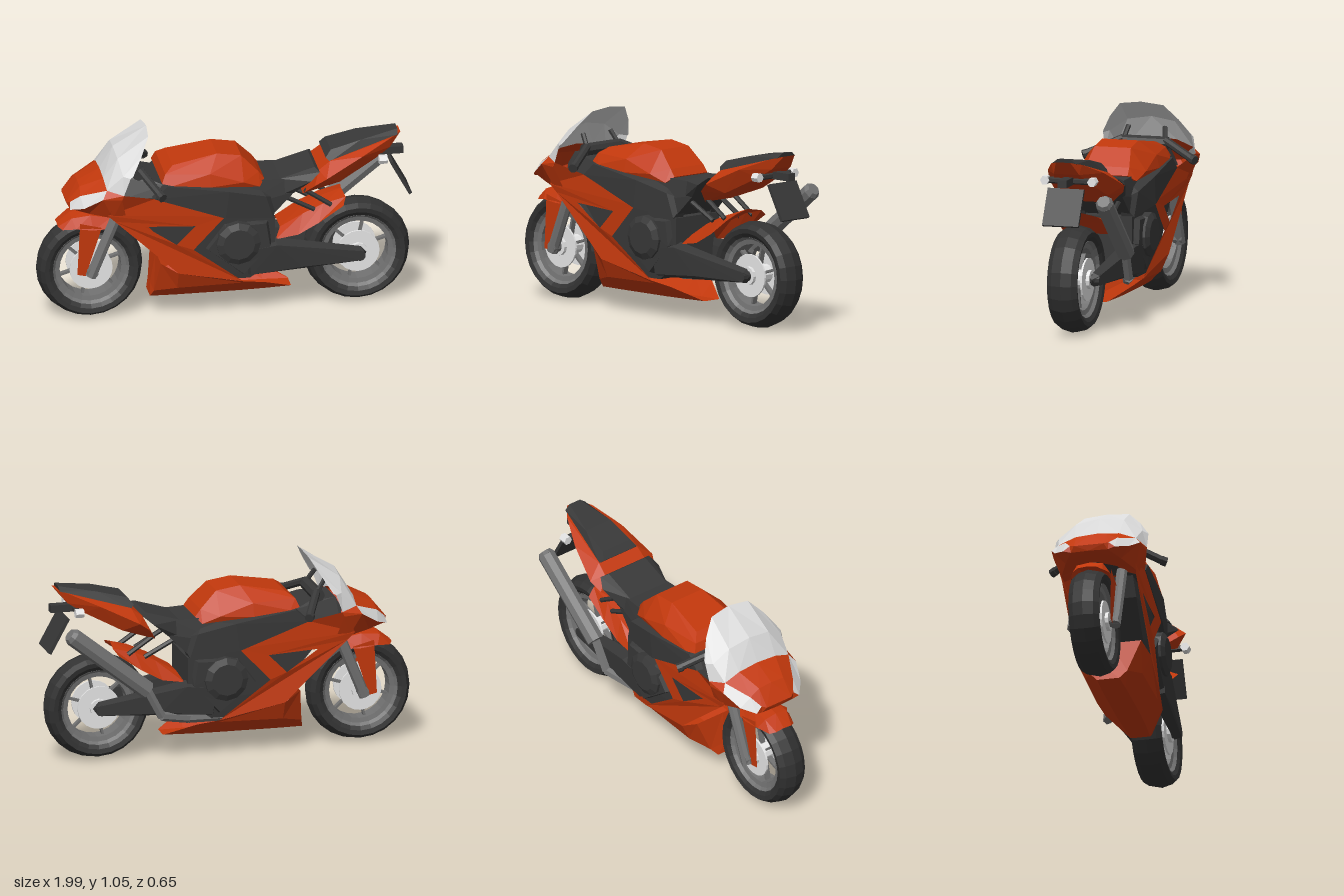
import * as THREE from 'three';
import { ConvexGeometry } from 'three/addons/geometries/ConvexGeometry.js';

const mat = (name, color, side = THREE.FrontSide) => {
  const m = new THREE.MeshStandardMaterial({ color, flatShading: true, side });
  m.name = name;
  return m;
};
const V = (p) => new THREE.Vector3(...p);

export function createModel() {
  const bike = new THREE.Group();
  bike.name = 'motorcycle';
  const red = mat('red paint', 0xc2380c, THREE.DoubleSide);
  const dark = mat('dark plastic', 0x383838);
  const rubber = mat('tyre rubber', 0x323232);
  const steel = mat('grey metal', 0x727272);
  const silver = mat('silver metal', 0xe6e6e6);
  const glass = mat('pale screen', 0xd8d8d8, THREE.DoubleSide);

  const add = (name, geo, m, parent = bike) => {
    const mesh = new THREE.Mesh(geo, m);
    mesh.name = name;
    parent.add(mesh);
    return mesh;
  };
  // Solid hull symmetric about z = 0
  const hull = (name, m, pts) =>
    add(name, new ConvexGeometry(pts.flatMap(([x, y, z]) => [V([x, y, z]), V([x, y, -z])])), m);
  // One solid hull on each side
  const sideHull = (name, m, pts) => {
    for (const s of [1, -1]) add(name, new ConvexGeometry(pts.map(([x, y, z]) => V([x, y, z * s]))), m);
  };
  // Mirrored sheet from columns of points that run from the centre line outwards
  const skin = (name, m, cols) => {
    const out = [];
    for (const s of [1, -1]) {
      for (let i = 0; i < cols.length - 1; i++) {
        for (let j = 0; j < cols[i].length - 1; j++) {
          const [a, b, c, d] = [cols[i][j], cols[i][j + 1], cols[i + 1][j + 1], cols[i + 1][j]];
          const tris = s > 0 ? [a, d, b, b, d, c] : [a, b, d, b, c, d];
          for (const [x, y, z] of tris) out.push(x, y, z * s);
        }
      }
    }
    const g = new THREE.BufferGeometry();
    g.setAttribute('position', new THREE.Float32BufferAttribute(out, 3));
    g.computeVertexNormals();
    add(name, g, m);
  };
  // Flat outline on both sides, pushed to the half width given by a rule
  const panel = (name, m, outline, holes, width) => {
    for (const s of [1, -1]) {
      const shape = new THREE.Shape(outline.map((p) => new THREE.Vector2(...p)));
      for (const h of holes) shape.holes.push(new THREE.Path(h.map((p) => new THREE.Vector2(...p))));
      const g = new THREE.ShapeGeometry(shape);
      const p = g.attributes.position;
      for (let i = 0; i < p.count; i++) p.setZ(i, s * width(p.getX(i), p.getY(i)));
      g.computeVertexNormals();
      add(name, g, m);
    }
  };
  const rod = (name, m, a, b, r, sides = 8, r2 = r) => {
    const A = V(a), B = V(b), d = B.clone().sub(A);
    const mesh = add(name, new THREE.CylinderGeometry(r2, r, d.length(), sides), m);
    mesh.position.copy(A).add(B).multiplyScalar(0.5);
    mesh.quaternion.setFromUnitVectors(new THREE.Vector3(0, 1, 0), d.normalize());
  };
  const rods = (name, m, [ax, ay, az], [bx, by, bz], r, sides) => {
    for (const s of [1, -1]) rod(name, m, [ax, ay, az * s], [bx, by, bz * s], r, sides);
  };
  const lathe = (pts, n) =>
    new THREE.LatheGeometry(pts.map((p) => new THREE.Vector2(...p)), n).rotateX(Math.PI / 2);

  // Wheels
  for (const [name, x] of [['frontWheel', -0.715], ['rearWheel', 0.71]]) {
    const w = new THREE.Group();
    w.name = name;
    w.position.set(x, 0.286, 0);
    bike.add(w);
    add('tyre', lathe([[0.2, -0.06], [0.225, -0.078], [0.25, -0.083], [0.27, -0.055], [0.284, 0],
      [0.27, 0.055], [0.25, 0.083], [0.225, 0.078], [0.2, 0.06], [0.2, -0.06]], 24), rubber, w);
    add('rim', lathe([[0.165, -0.045], [0.19, -0.05], [0.204, -0.066], [0.204, 0.066], [0.19, 0.05],
      [0.165, 0.045], [0.165, -0.045]], 24), steel, w);
    for (let i = 0; i < 6; i++) {
      const a = (i * Math.PI) / 3 + 0.3;
      const spoke = add('spoke', new THREE.BoxGeometry(0.14, 0.012, 0.03), steel, w);
      spoke.position.set(Math.cos(a) * 0.105, Math.sin(a) * 0.105, 0);
      spoke.rotation.z = a;
    }
    for (const z of [0.062, -0.062]) {
      add('brakeDisc', new THREE.CylinderGeometry(0.115, 0.115, 0.01, 20).rotateX(Math.PI / 2), silver, w).position.z = z;
    }
    add('hub', new THREE.CylinderGeometry(0.05, 0.05, 0.17, 12).rotateX(Math.PI / 2), silver, w);
    add('axle', new THREE.CylinderGeometry(0.03, 0.03, 0.27, 10).rotateX(Math.PI / 2), x > 0 ? dark : steel, w);
  }

  // Front fork, guards and mudguard
  rods('forkLeg', steel, [-0.725, 0.26, 0.115], [-0.57, 0.64, 0.115], 0.03);
  panel('forkGuard', red, [[-0.795, 0.27], [-0.75, 0.26], [-0.665, 0.53], [-0.78, 0.56]], [], () => 0.105);
  skin('frontMudguard', red, [
    [[-0.89, 0.535, 0], [-0.89, 0.53, 0.05], [-0.87, 0.52, 0.08]],
    [[-0.82, 0.59, 0], [-0.82, 0.58, 0.07], [-0.8, 0.53, 0.105]],
    [[-0.72, 0.605, 0], [-0.72, 0.59, 0.07], [-0.71, 0.52, 0.11]],
    [[-0.61, 0.58, 0], [-0.61, 0.57, 0.07], [-0.62, 0.52, 0.105]],
  ]);

  // Nose, headlights and screen
  skin('noseTop', red, [
    [[-0.85, 0.68, 0], [-0.85, 0.68, 0.08], [-0.835, 0.69, 0.105]],
    [[-0.78, 0.77, 0], [-0.78, 0.765, 0.08], [-0.785, 0.735, 0.14]],
    [[-0.66, 0.83, 0], [-0.66, 0.82, 0.12], [-0.655, 0.785, 0.21]],
  ]);
  skin('headlight', glass, [
    [[-0.835, 0.69, 0.105], [-0.84, 0.66, 0.14]],
    [[-0.785, 0.735, 0.14], [-0.775, 0.685, 0.2]],
    [[-0.655, 0.785, 0.21], [-0.68, 0.745, 0.24]],
  ]);
  skin('noseSide', red, [
    [[-0.84, 0.66, 0.14], [-0.835, 0.65, 0.1], [-0.84, 0.65, 0]],
    [[-0.775, 0.685, 0.2], [-0.74, 0.635, 0.15], [-0.72, 0.64, 0]],
    [[-0.68, 0.745, 0.24], [-0.62, 0.62, 0.2], [-0.62, 0.65, 0.1]],
    [[-0.58, 0.74, 0.25], [-0.55, 0.62, 0.2], [-0.55, 0.65, 0.12]],
  ]);
  skin('noseShoulder', red, [
    [[-0.655, 0.785, 0.21], [-0.68, 0.745, 0.24]],
    [[-0.57, 0.765, 0.25], [-0.58, 0.74, 0.25]],
  ]);
  skin('noseFront', red, [
    [[-0.85, 0.68, 0], [-0.85, 0.68, 0.08], [-0.835, 0.69, 0.105]],
    [[-0.84, 0.65, 0], [-0.835, 0.65, 0.1], [-0.84, 0.66, 0.14]],
  ]);
  skin('windscreen', glass, [
    [[-0.66, 0.83, 0], [-0.66, 0.82, 0.12], [-0.655, 0.785, 0.21], [-0.57, 0.765, 0.25]],
    [[-0.59, 0.95, 0], [-0.585, 0.93, 0.13], [-0.57, 0.865, 0.225], [-0.535, 0.86, 0.25]],
    [[-0.41, 1.055, 0], [-0.42, 1.04, 0.12], [-0.465, 0.96, 0.19], [-0.52, 0.87, 0.245]],
  ]);

  // Side fairings with a triangular vent, and belly pan
  const clamp = THREE.MathUtils.clamp;
  panel('sideFairing', red,
    [[-0.65, 0.64], [-0.57, 0.765], [-0.4, 0.715], [-0.2, 0.65], [-0.02, 0.59], [-0.19, 0.41], [0.08, 0.2], [-0.27, 0.28],
      [-0.61, 0.6]],
    [[[-0.45, 0.56], [-0.28, 0.445], [-0.18, 0.545]]],
    (x, y) => 0.2 - 0.5 * Math.max(0, 0.26 - y)
      + 0.05 * clamp((-x - 0.4) / 0.17, 0, 1) * clamp((y - 0.62) / 0.14, 0, 1));
  skin('bellyPan', red, [
    [[-0.4, 0.105, 0], [-0.4, 0.105, 0], [-0.39, 0.16, 0], [-0.36, 0.33, 0]],
    [[-0.4, 0.105, 0], [-0.4, 0.105, 0.06], [-0.385, 0.15, 0.1], [-0.36, 0.33, 0.17]],
    [[-0.27, 0.105, 0], [-0.27, 0.105, 0.065], [-0.27, 0.18, 0.155], [-0.27, 0.28, 0.2]],
    [[0.08, 0.106, 0], [0.08, 0.106, 0.065], [0.08, 0.186, 0.155], [0.08, 0.2, 0.172]],
    [[0.22, 0.107, 0], [0.22, 0.107, 0.06], [0.21, 0.17, 0.14], [0.2, 0.18, 0.155]],
    [[0.355, 0.108, 0], [0.355, 0.108, 0.05], [0.355, 0.11, 0.055], [0.35, 0.112, 0.06]],
  ]);

  // Engine block, covers and frame
  hull('engine', dark, [[-0.47, 0.66, 0.15], [-0.43, 0.55, 0.16], [-0.25, 0.34, 0.16], [-0.08, 0.21, 0.15],
    [0.12, 0.21, 0.15], [0.25, 0.3, 0.16], [0.25, 0.55, 0.16], [0, 0.62, 0.17]]);
  sideHull('engineSide', dark, [[-0.14, 0.4, 0.1], [-0.02, 0.56, 0.1], [0.24, 0.55, 0.1], [0.25, 0.42, 0.1], [0.08, 0.22, 0.1],
    [-0.11, 0.4, 0.19], [-0.02, 0.52, 0.195], [0.2, 0.53, 0.19], [0.22, 0.4, 0.19], [0.08, 0.25, 0.19]]);
  for (const s of [1, -1]) {
    rod('engineCover', dark, [0.05, 0.43, 0.15 * s], [0.05, 0.43, 0.205 * s], 0.118, 12);
    rod('engineCoverCap', dark, [0.05, 0.43, 0.205 * s], [0.05, 0.43, 0.222 * s], 0.118, 12, 0.085);
  }
  sideHull('frameBeam', dark, [[-0.42, 0.71, 0.1], [-0.33, 0.79, 0.1], [0.15, 0.73, 0.1], [0.28, 0.64, 0.1], [0.24, 0.54, 0.1],
    [-0.02, 0.575, 0.1], [-0.4, 0.715, 0.203], [-0.33, 0.78, 0.2], [0, 0.73, 0.207], [0.2, 0.68, 0.18],
    [0.24, 0.55, 0.17], [-0.02, 0.58, 0.207]]);

  // Tank and seats
  hull('fuelTank', red, [[-0.355, 0.79, 0.18], [-0.335, 0.835, 0.16], [-0.29, 0.868, 0.12], [-0.05, 0.91, 0.1],
    [0.08, 0.89, 0.1], [0.17, 0.8, 0.12], [0.2, 0.76, 0.12], [0.17, 0.73, 0.16], [0.08, 0.77, 0.185], [-0.1, 0.76, 0.2],
    [-0.1, 0.83, 0.185], [-0.3, 0.78, 0.195]]);
  hull('riderSeatFront', dark, [[0.08, 0.76, 0.14], [0.18, 0.735, 0.13], [0.32, 0.75, 0.13], [0.36, 0.68, 0.14],
    [0.24, 0.56, 0.15], [0.05, 0.62, 0.17]]);
  hull('riderSeatRear', dark, [[0.28, 0.75, 0.12], [0.47, 0.805, 0.12], [0.49, 0.79, 0.16], [0.44, 0.75, 0.185],
    [0.35, 0.67, 0.14], [0.26, 0.65, 0.13]]);
  hull('tail', red, [[0.41, 0.65, 0.1], [0.46, 0.72, 0.18], [0.52, 0.765, 0.205], [0.49, 0.79, 0.13], [0.55, 0.835, 0.125],
    [0.72, 0.86, 0.155], [0.88, 0.925, 0.085], [0.94, 0.942, 0.04], [0.88, 0.87, 0.07], [0.8, 0.82, 0.09], [0.6, 0.72, 0.14]]);
  hull('passengerSeat', dark, [[0.53, 0.85, 0.11], [0.56, 0.885, 0.09], [0.72, 0.925, 0.08], [0.925, 0.958, 0.035],
    [0.92, 0.935, 0.065], [0.55, 0.83, 0.125]]);
  rods('seatStay', dark, [0.28, 0.66, 0.11], [0.47, 0.555, 0.1], 0.013, 6);
  rods('tailStay', dark, [0.42, 0.67, 0.1], [0.56, 0.575, 0.1], 0.013, 6);

  // Swingarm and rear mudguard
  sideHull('swingarm', dark, [[0.08, 0.4, 0.12], [0.1, 0.22, 0.12], [0.25, 0.42, 0.12], [0.4, 0.24, 0.1], [0.55, 0.345, 0.1],
    [0.72, 0.325, 0.095], [0.75, 0.29, 0.095], [0.72, 0.25, 0.095], [0.1, 0.38, 0.195], [0.12, 0.24, 0.185],
    [0.26, 0.4, 0.19], [0.4, 0.26, 0.17], [0.55, 0.335, 0.155], [0.73, 0.31, 0.135], [0.72, 0.26, 0.135]]);
  skin('rearMudguard', red, [
    [[0.29, 0.46, 0], [0.29, 0.46, 0.08], [0.26, 0.41, 0.13]],
    [[0.42, 0.54, 0], [0.41, 0.53, 0.09], [0.38, 0.43, 0.135]],
    [[0.52, 0.59, 0], [0.52, 0.58, 0.09], [0.49, 0.49, 0.135]],
    [[0.63, 0.625, 0], [0.64, 0.61, 0.09], [0.62, 0.58, 0.14]],
  ]);

  // Exhaust on the right side
  const pipe = [[0.05, 0.2, -0.09], [0.24, 0.212, -0.13], [0.4, 0.25, -0.19], [0.48, 0.4, -0.198]];
  for (let i = 0; i < 3; i++) rod('exhaustPipe', steel, pipe[i], pipe[i + 1], 0.025, 6);
  rod('silencer', steel, [0.48, 0.4, -0.2], [0.89, 0.725, -0.212], 0.048, 8);
  rod('silencerTip', steel, [0.89, 0.725, -0.212], [0.908, 0.739, -0.213], 0.048, 8, 0.035);

  // Plate holder and indicators
  rod('indicatorBar', dark, [0.83, 0.828, -0.13], [0.83, 0.828, 0.13], 0.018, 6);
  hull('plateBracket', dark, [[0.8, 0.85, 0.025], [0.8, 0.81, 0.025], [0.96, 0.85, 0.025], [0.96, 0.81, 0.025]]);
  for (const s of [1, -1]) rod('indicator', silver, [0.81, 0.828, 0.13 * s], [0.855, 0.828, 0.13 * s], 0.025, 6);
  const plate = add('plate', new THREE.BoxGeometry(0.018, 0.21, 0.2), dark);
  plate.position.set(0.935, 0.7, 0);
  plate.rotation.z = 0.5;

  // Cockpit and handlebars
  hull('dash', dark, [[-0.6, 0.75, 0.12], [-0.57, 0.81, 0.1], [-0.42, 0.8, 0.12], [-0.34, 0.77, 0.15], [-0.38, 0.71, 0.17],
    [-0.58, 0.7, 0.15]]);
  rod('steeringYoke', dark, [-0.47, 0.83, -0.13], [-0.47, 0.83, 0.13], 0.035, 8);
  rods('handlebar', dark, [-0.46, 0.845, 0.12], [-0.375, 0.765, 0.3], 0.022);
  rods('barEnd', dark, [-0.385, 0.77, 0.285], [-0.372, 0.762, 0.31], 0.025);
  rods('screenStay', dark, [-0.51, 0.91, 0.1], [-0.45, 0.82, 0.12], 0.013, 6);

  return bike;
}
